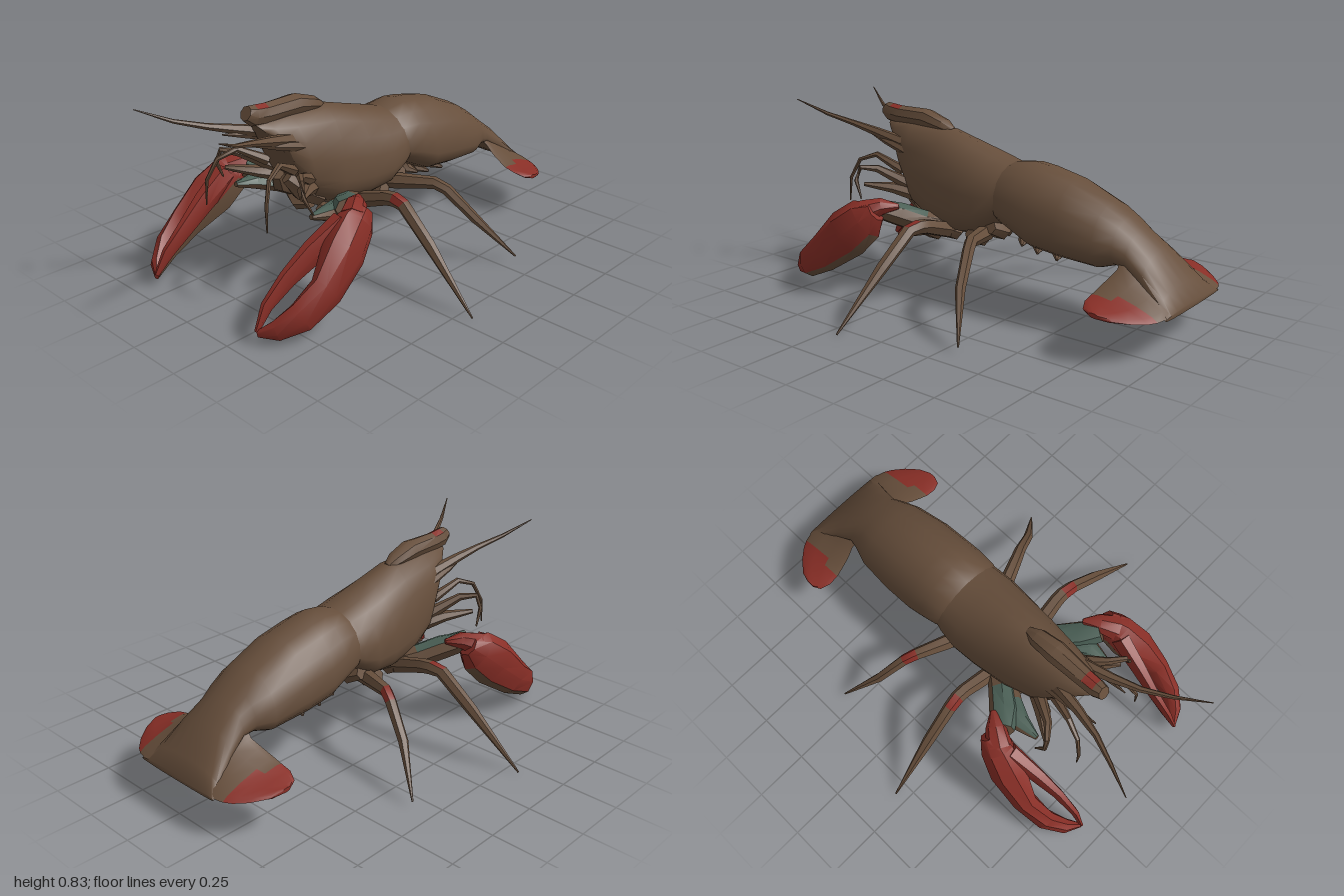
import * as THREE from 'three';
import { toCreasedNormals } from 'three/addons/utils/BufferGeometryUtils.js';

const mat = (name, color) => new THREE.MeshStandardMaterial({ name, color });

// Closed skin over a list of rings; pick(i, angle) chooses the material of each quad.
function loft(name, rings, mats, pick = () => 0, crease = 0.7) {
  const n = rings[0].length, pos = [], lists = mats.map(() => []);
  rings.forEach(r => r.forEach(p => pos.push(p.x, p.y, p.z)));
  for (let i = 0; i < rings.length - 1; i++) {
    for (let j = 0; j < n; j++) {
      const k = (j + 1) % n, a = i * n + j, b = i * n + k, c = a + n, d = b + n;
      lists[pick(i, (j + 0.5) / n * Math.PI * 2)].push(a, b, c, b, d, c);
    }
  }
  const last = (rings.length - 1) * n;
  for (let j = 1; j < n - 1; j++) {
    lists[pick(0, 0)].push(0, j + 1, j);
    lists[pick(rings.length - 2, 0)].push(last, last + j, last + j + 1);
  }
  const g = new THREE.BufferGeometry();
  g.setAttribute('position', new THREE.Float32BufferAttribute(pos, 3));
  g.setIndex(lists.flat());
  let start = 0;
  lists.forEach((l, m) => { g.addGroup(start, l.length, m); start += l.length; });
  const mesh = new THREE.Mesh(toCreasedNormals(g, crease), mats);
  mesh.name = name;
  return mesh;
}

// Tapered limb through [x, y, z, halfWidth, halfHeight] points, mirrored by s.
function limb(name, s, pts, mats, pick, sides = 8) {
  const c = pts.map(p => new THREE.Vector3(p[0] * s, p[1], p[2]));
  const up = new THREE.Vector3(0, 1, 0);
  const rings = c.map((p, i) => {
    const t = c[Math.min(i + 1, c.length - 1)].clone().sub(c[Math.max(i - 1, 0)]).normalize();
    const side = up.clone().cross(t).normalize(), other = t.clone().cross(side);
    const rx = pts[i][3], ry = pts[i][4] ?? rx;
    return Array.from({ length: sides }, (_, j) => {
      const a = j / sides * Math.PI * 2;
      return p.clone().addScaledVector(side, Math.cos(a) * rx).addScaledVector(other, Math.sin(a) * ry);
    });
  });
  return loft(name, rings, mats, pick);
}

// Egg-shaped shell, stations from back to front: [zTop, zBottom, halfWidth, yTop, yBottom].
function shell(name, stations, mats) {
  const rings = stations.map(([zt, zb, w, yt, yb]) => {
    const ym = yb + (yt - yb) * 0.3;
    return Array.from({ length: 20 }, (_, j) => {
      const a = j / 20 * Math.PI * 2, c = Math.cos(a), sn = Math.sin(a);
      const y = ym + sn * (sn > 0 ? yt - ym : ym - yb);
      const x = sn > 0 ? c : Math.sign(c) * Math.abs(c) ** 0.7;
      return new THREE.Vector3(w * x, y, zb + (zt - zb) * (y - yb) / (yt - yb));
    });
  });
  return loft(name, rings, mats, undefined, 0.9);
}

export function createModel() {
  const brown = mat('shell brown', 0x664e3b);
  const red = mat('claw red', 0x882e26);
  const teal = mat('joint teal', 0x4a5f55);
  const model = new THREE.Group();
  model.name = 'lobster';

  model.add(shell('carapace', [
    [-0.15, -0.14, 0.182, 0.635, 0.39], [-0.11, -0.1, 0.192, 0.642, 0.36],
    [-0.02, -0.02, 0.2, 0.67, 0.31], [0.1, 0.1, 0.19, 0.705, 0.29],
    [0.25, 0.26, 0.17, 0.75, 0.3], [0.45, 0.38, 0.14, 0.76, 0.36],
    [0.56, 0.46, 0.1, 0.755, 0.5], [0.62, 0.52, 0.05, 0.75, 0.64],
  ], [brown]));

  model.add(shell('abdomen', [
    [-1, -1, 0.23, 0.19, 0.165], [-0.95, -0.95, 0.2, 0.25, 0.18],
    [-0.85, -0.85, 0.165, 0.37, 0.235], [-0.76, -0.76, 0.145, 0.44, 0.29],
    [-0.7, -0.71, 0.16, 0.485, 0.3], [-0.62, -0.63, 0.188, 0.535, 0.275],
    [-0.45, -0.45, 0.205, 0.61, 0.285], [-0.3, -0.31, 0.205, 0.645, 0.3],
    [-0.22, -0.23, 0.2, 0.655, 0.34], [-0.13, -0.15, 0.19, 0.643, 0.38],
    [-0.06, -0.09, 0.16, 0.62, 0.41],
  ], [brown]));

  // Raised beak over the head, with a red patch near the tip
  model.add(limb('rostrum', 1, [
    [0, 0.73, 0.24, 0.02, 0.02], [0, 0.75, 0.29, 0.042, 0.035], [0, 0.775, 0.39, 0.052, 0.045],
    [0, 0.775, 0.55, 0.042, 0.045], [0, 0.782, 0.615, 0.04, 0.045], [0, 0.8, 0.65, 0.03, 0.032],
  ], [brown, red], (i, a) => (i === 3 && Math.sin(a) > 0.5 ? 1 : 0)));

  for (const s of [1, -1]) {
    const half = new THREE.Group();
    half.name = s > 0 ? 'leftSide' : 'rightSide';
    model.add(half);
    const add = (name, pts, mats = [brown], pick, sides) => half.add(limb(name, s, pts, mats, pick, sides));

    // Claw arm, teal on its upper inner faces
    const tealInside = (i, a) => (i > 0 && Math.cos(a) * s < 0.5 && Math.sin(a) > 0 ? 1 : 0);
    add('clawArm', [[0.1, 0.31, 0.16, 0.05], [0.175, 0.335, 0.26, 0.06, 0.055],
      [0.25, 0.375, 0.345, 0.065, 0.055], [0.32, 0.405, 0.4, 0.055, 0.045]], [brown, teal], tealInside);
    add('armGuard', [[0.12, 0.31, 0.25, 0.04], [0.19, 0.345, 0.33, 0.05, 0.04],
      [0.235, 0.37, 0.43, 0.045, 0.035], [0.235, 0.385, 0.53, 0.012]], [brown, teal], tealInside);

    // Red knuckle and pincers, the large one brown underneath
    add('clawKnuckle', [[0.29, 0.425, 0.315, 0.012], [0.335, 0.425, 0.375, 0.045, 0.04],
      [0.38, 0.395, 0.44, 0.06, 0.06]], [red]);
    add('largeFinger', [
      [0.37, 0.41, 0.38, 0.05, 0.05], [0.385, 0.37, 0.43, 0.075, 0.1], [0.41, 0.29, 0.525, 0.085, 0.115],
      [0.442, 0.18, 0.655, 0.054, 0.09], [0.428, 0.11, 0.775, 0.046, 0.072], [0.38, 0.068, 0.86, 0.034, 0.045],
      [0.325, 0.052, 0.908, 0.01, 0.015],
    ], [red, brown], (i, a) => (i > 0 && Math.cos(a) * s < 0.5 && Math.sin(a) < -0.3 ? 1 : 0));
    add('smallFinger', [[0.365, 0.38, 0.48, 0.045, 0.065], [0.34, 0.3, 0.63, 0.034, 0.058],
      [0.322, 0.225, 0.745, 0.024, 0.045], [0.316, 0.145, 0.85, 0.017, 0.032],
      [0.322, 0.06, 0.91, 0.008, 0.012]], [red], undefined, 6);

    // Walking legs, with small red marks at the joints
    add('frontLeg', [[0.1, 0.3, 0.17, 0.04], [0.3, 0.365, 0.15, 0.033], [0.345, 0.372, 0.15, 0.032],
      [0.4, 0.365, 0.157, 0.03], [0.56, 0.235, 0.17, 0.026], [0.81, 0.01, 0.195, 0.004]],
      [brown, red], (i, a) => (i === 2 && Math.sin(a) > 0.3 && Math.cos(a) * s < 0.3 ? 1 : 0), 6);
    add('rearLeg', [[0.1, 0.33, -0.04, 0.04], [0.33, 0.355, -0.13, 0.028], [0.38, 0.33, -0.155, 0.026],
      [0.5, 0.21, -0.21, 0.022], [0.65, 0.035, -0.32, 0.004]],
      [brown, red], (i, a) => (i === 1 && s < 0 && Math.sin(a) > 0.3 ? 1 : 0), 6);

    // Leg sockets under the body
    [[0.28, 0.28], [0.17, 0.3], [0.01, 0.3], [-0.1, 0.35]].forEach(([z, y]) =>
      add('legSocket', [[0.03, y, z, 0.03, 0.025], [0.09, y - 0.01, z, 0.055, 0.04],
        [0.16, y + 0.02, z, 0.03, 0.03]], [brown], undefined, 6));

    // Short swimming legs under the abdomen
    [[-0.22, 0.33], [-0.3, 0.31], [-0.4, 0.3]].forEach(([z, y]) =>
      add('swimmingLeg', [[0.05, y + 0.03, z, 0.03], [0.09, y - 0.01, z - 0.01, 0.025, 0.02],
        [0.13, y - 0.02, z - 0.03, 0.006]], [brown], undefined, 6));

    // Antennae, head spines and mouth feelers
    add('antenna', [[0.07, 0.66, 0.48, 0.03], [0.1, 0.7, 0.62, 0.022], [0.135, 0.735, 0.74, 0.014],
      [0.19, 0.775, 0.86, 0.009], [0.26, 0.84, 0.99, 0.002]], [brown], undefined, 6);
    add('headSpine', [[0.09, 0.62, 0.42, 0.025], [0.095, 0.665, 0.57, 0.018], [0.09, 0.7, 0.7, 0.003]],
      [brown], undefined, 6);
    add('outerFeeler', [[0.11, 0.48, 0.42, 0.03], [0.19, 0.55, 0.54, 0.018], [0.25, 0.56, 0.59, 0.012],
      [0.27, 0.5, 0.6, 0.01], [0.28, 0.42, 0.56, 0.004]], [brown], undefined, 6);
    add('innerFeeler', [[0.08, 0.53, 0.48, 0.025], [0.13, 0.6, 0.6, 0.014], [0.16, 0.57, 0.68, 0.01],
      [0.185, 0.48, 0.72, 0.008], [0.19, 0.37, 0.725, 0.003]], [brown], undefined, 6);
    add('mouthBlade', [[0.09, 0.43, 0.38, 0.035], [0.15, 0.46, 0.48, 0.035, 0.025], [0.24, 0.48, 0.58, 0.01]],
      [brown], undefined, 6);
    add('jaw', [[0.07, 0.36, 0.33, 0.05, 0.04], [0.06, 0.42, 0.42, 0.045, 0.05], [0.03, 0.48, 0.47, 0.03]],
      [brown], undefined, 6);

    // Drooping tail lobe: [x, zFront, yFront, zBack, yBack]
    const lobe = [
      [0.08, -0.72, 0.38, -1, 0.18], [0.16, -0.74, 0.31, -1, 0.18], [0.21, -0.725, 0.28, -1, 0.178],
      [0.265, -0.715, 0.255, -0.985, 0.175], [0.3, -0.71, 0.24, -0.965, 0.175], [0.35, -0.71, 0.228, -0.92, 0.18],
      [0.395, -0.73, 0.213, -0.86, 0.19], [0.41, -0.765, 0.205, -0.81, 0.2],
    ].map(([x, zf, yf, zb, yb], i) => Array.from({ length: 10 }, (_, j) => {
      const a = j / 10 * Math.PI * 2, f = 0.5 - s * Math.cos(a) / 2;
      const thick = 0.024 - i * 0.002;
      return new THREE.Vector3(s * x, yb + (yf - yb) * f + Math.sin(a) * thick, zb + (zf - zb) * f);
    }));
    // Red towards the outer edge, reaching further in at the back
    half.add(loft('tailLobe', lobe, [brown, red],
      (i, a) => (i > 3 || (i === 3 && Math.sin(a) > 0 && Math.cos(a) * s > -0.4) ? 1 : 0)));
  }
  return model;
}
